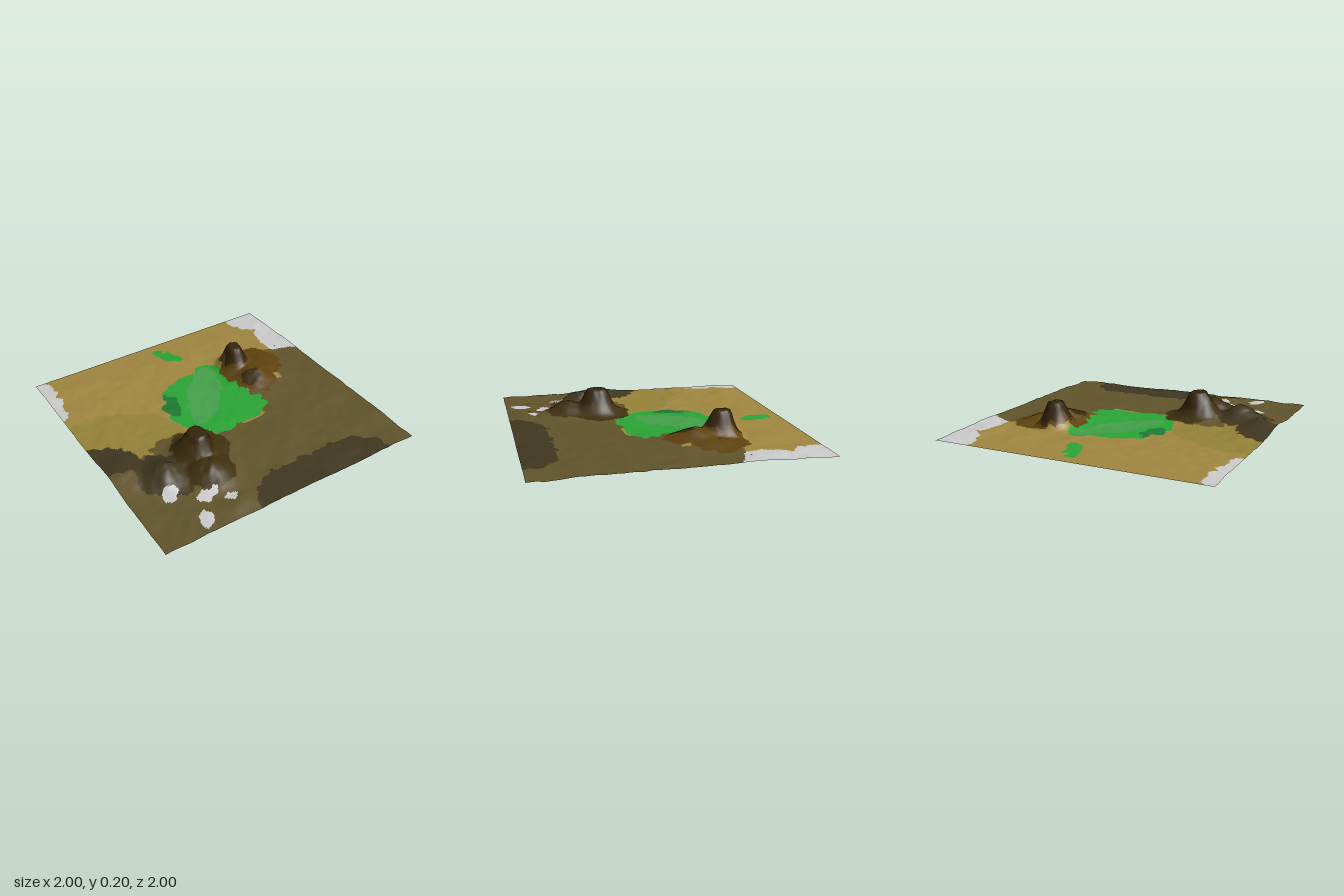
import * as THREE from 'three';

const N = 150; // cells per side
const smooth = (a, b, v) => THREE.MathUtils.smoothstep(v, a, b);

// Smooth value noise on a seeded lattice
function hash(i, j) {
  const s = Math.sin(i * 127.1 + j * 311.7) * 43758.5453;
  return s - Math.floor(s);
}
function noise(x, z) {
  const i = Math.floor(x), j = Math.floor(z);
  const u = smooth(0, 1, x - i), v = smooth(0, 1, z - j);
  const a = hash(i, j) * (1 - u) + hash(i + 1, j) * u;
  const b = hash(i, j + 1) * (1 - u) + hash(i + 1, j + 1) * u;
  return a * (1 - v) + b * v - 0.5;
}

// A rounded hill with its own spread towards -x, +x, -z and +z
const hill = (cx, cz, top, xn, xp, zn, zp) => (x, z) => {
  const dx = (x - cx) / (x < cx ? xn : xp), dz = (z - cz) / (z < cz ? zn : zp);
  return top * Math.exp(-dx * dx - dz * dz);
};
const hills = [
  hill(-0.365, 0.32, 0.26, 0.12, 0.1, 0.1, 0.13),    // left peak
  hill(-0.4, 0.55, 0.1, 0.13, 0.13, 0.15, 0.15),     // its front spur
  hill(-0.68, 0.42, 0.095, 0.12, 0.13, 0.13, 0.14),  // low knoll
  hill(-0.9, 0.25, 0.045, 0.2, 0.15, 0.17, 0.2),     // edge rise
  hill(-0.42, 0.88, 0.02, 0.12, 0.12, 0.08, 0.08),   // front bump
  hill(0.42, -0.41, 0.26, 0.085, 0.09, 0.08, 0.13),  // right peak
  hill(0.45, -0.2, 0.09, 0.12, 0.15, 0.15, 0.15),    // its front spur
  hill(0.62, -0.3, 0.045, 0.15, 0.11, 0.17, 0.2),    // its side shelf
];

function height(x, z) {
  const h = Math.max(...hills.map((f) => f(x, z)));
  // rolling ground that fades out at the back and in the back corners
  const fade = smooth(-1, -0.75, z) * smooth(0, 0.5, 1.9 - Math.abs(x) + z * 0.7);
  const ground = 0.013 + 0.012 * noise(x * 6, z * 6) + 0.006 * noise(x * 17, z * 17);
  const rough = 1 + 0.18 * noise(x * 14 + 5, z * 14) + 0.12 * noise(x * 30, z * 30);
  return THREE.MathUtils.clamp(ground * fade + h * rough, 0, 0.2);
}

// An oval patch of ground, turned by an angle from x towards z
const patch = (cx, cz, rx, rz, turn = 0) => (x, z) => {
  const c = Math.cos(turn), s = Math.sin(turn), dx = x - cx, dz = z - cz;
  return Math.hypot((dx * c + dz * s) / rx, (dz * c - dx * s) / rz) < 1;
};

// Back edge of the scrub: dips behind the left hill, climbs behind the right one
function scrubEdge(x) {
  if (x < -0.62) return 0.23 + (x + 0.62) * 0.8;
  if (x < 0.3) return 0.1 + 0.13 * smooth(-0.25, -0.62, x);
  return -0.05 - 0.4 * smooth(0.62, 0.74, x) + 0.12 * smooth(0.8, 1, x);
}

// Ground covers from lowest to topmost: name, colour, patches
const covers = [
  ['sand', 0xa08740, [() => true]],
  ['dryGrass', 0x958238, [patch(-0.8, -0.05, 0.5, 0.33, 0.3)]],
  ['bareCorners', 0xcccccc, [patch(1, -0.55, 0.2, 0.25), patch(0.95, -0.95, 0.22, 0.25), patch(-1, -0.82, 0.09, 0.34)]],
  ['scrub', 0x61542c, [(x, z) => z > scrubEdge(x)]],
  ['darkSoil', 0x40371f, [
    (x, z) => z > 0.75 && patch(0.25, 1, 0.54, 0.32)(x, z),
    patch(-0.92, 0.1, 0.22, 0.15, 0.65), patch(-0.68, 0.42, 0.17, 0.23, -0.2)]],
  ['meadow', 0x2aa536, [
    patch(0, -0.12, 0.32, 0.36), patch(0.19, -0.38, 0.11, 0.15), patch(0.21, 0.1, 0.16, 0.11),
    patch(0.05, -0.8, 0.13, 0.05, 1.1)]],
  ['lightMeadow', 0x45a04a, [patch(0.02, -0.2, 0.35, 0.12, -0.95)]],
  ['darkMeadow', 0x1f7a34, [patch(-0.25, -0.22, 0.06, 0.13, 0.3)]],
  ['leftHillSoil', 0x40300f, [patch(-0.33, 0.32, 0.21, 0.22), patch(-0.4, 0.55, 0.18, 0.17)]],
  ['rightHillSoil', 0x5e430f, [patch(0.46, -0.26, 0.18, 0.28), patch(0.58, -0.32, 0.19, 0.21)]],
  ['peakSoil', 0x35260c, [patch(-0.36, 0.32, 0.09, 0.12), patch(0.43, -0.4, 0.09, 0.12), patch(0.42, -0.14, 0.07, 0.07)]],
  ['bareRock', 0xcccccc, [
    patch(-0.74, 0.59, 0.05, 0.06), patch(-0.53, 0.72, 0.08, 0.045),
    patch(-0.63, 0.88, 0.05, 0.08), patch(-0.41, 0.81, 0.045, 0.03)]],
];

// Topmost cover at a point, with ragged borders
function coverAt(x, z) {
  const px = x + 0.05 * noise(x * 22, z * 22 + 9), pz = z + 0.05 * noise(x * 22 + 7, z * 22);
  return covers.findLastIndex(([, , patches]) => patches.some((covered) => covered(px, pz)));
}

export function createModel() {
  const group = new THREE.Group();
  group.name = 'terrain';

  // One height sheet whose vertices and normals all covers share
  const sheet = new THREE.PlaneGeometry(2, 2, N, N).rotateX(-Math.PI / 2);
  const pos = sheet.attributes.position;
  for (let i = 0; i < pos.count; i++) pos.setY(i, height(pos.getX(i), pos.getZ(i)));
  sheet.computeVertexNormals();
  const normal = sheet.attributes.normal;

  // Sort the triangles by the cover they lie in
  const faces = covers.map(() => []);
  const index = sheet.index.array;
  for (let t = 0; t < index.length; t += 3) {
    const tri = [index[t], index[t + 1], index[t + 2]];
    const x = tri.reduce((s, i) => s + pos.getX(i), 0) / 3;
    const z = tri.reduce((s, i) => s + pos.getZ(i), 0) / 3;
    faces[coverAt(x, z)].push(...tri);
  }

  covers.forEach(([name, color], k) => {
    // keep only the vertices this cover uses
    const used = new Map(), points = [], normals = [];
    const ids = faces[k].map((i) => {
      if (!used.has(i)) {
        used.set(i, used.size);
        points.push(pos.getX(i), pos.getY(i), pos.getZ(i));
        normals.push(normal.getX(i), normal.getY(i), normal.getZ(i));
      }
      return used.get(i);
    });
    const geometry = new THREE.BufferGeometry();
    geometry.setAttribute('position', new THREE.Float32BufferAttribute(points, 3));
    geometry.setAttribute('normal', new THREE.Float32BufferAttribute(normals, 3));
    geometry.setIndex(ids);
    const mesh = new THREE.Mesh(geometry, new THREE.MeshStandardMaterial({ color, side: THREE.DoubleSide }));
    mesh.name = name;
    group.add(mesh);
  });
  return group;
}
